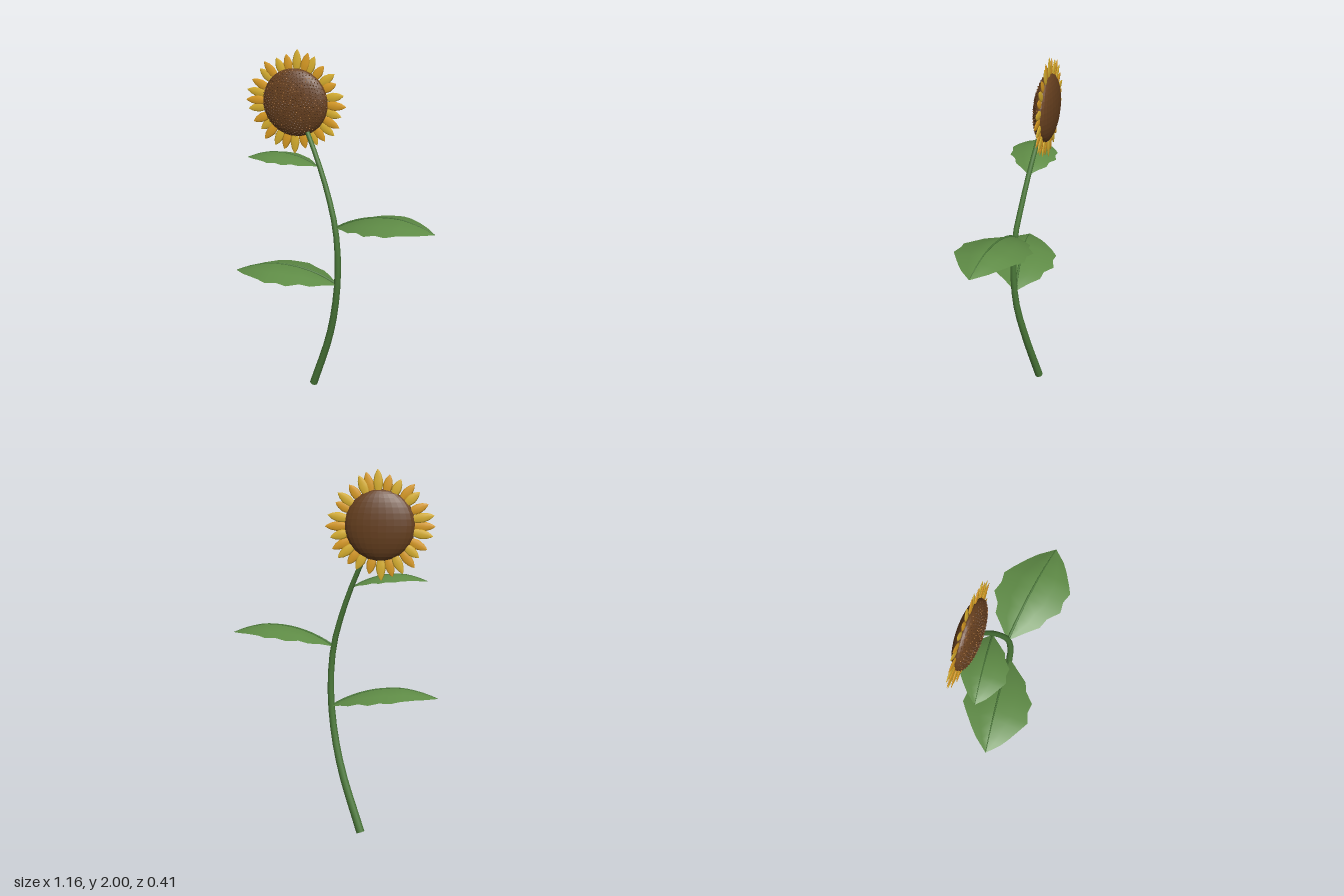
import * as THREE from 'three';

const mat = (name, color, extra = {}) => {
  const m = new THREE.MeshStandardMaterial({ color, ...extra });
  m.name = name;
  return m;
};

function seeded(seed) {
  return () => (seed = (seed * 16807) % 2147483647) / 2147483647;
}

function add(parent, name, geometry, material) {
  const mesh = new THREE.Mesh(geometry, material);
  mesh.name = name;
  parent.add(mesh);
  return mesh;
}

// Tube whose radius runs from r0 to r1 along the curve
function taperedTube(curve, segments, sides, r0, r1) {
  const geo = new THREE.TubeGeometry(curve, segments, 1, sides);
  const pos = geo.attributes.position, v = new THREE.Vector3();
  for (let i = 0; i < pos.count; i++) {
    const t = Math.floor(i / (sides + 1)) / segments;
    const c = curve.getPointAt(t);
    v.fromBufferAttribute(pos, i).sub(c).multiplyScalar(r0 + (r1 - r0) * t).add(c);
    pos.setXYZ(i, v.x, v.y, v.z);
  }
  return geo;
}

// Leaf sections: distance along x, midrib height, half width
const LEAF = [
  [0, 0, 0.012], [0.055, 0.032, 0.07], [0.11, 0.057, 0.13], [0.165, 0.076, 0.145],
  [0.225, 0.091, 0.195], [0.285, 0.099, 0.182], [0.345, 0.102, 0.195],
  [0.395, 0.1, 0.163], [0.465, 0.086, 0.115], [0.515, 0.071, 0.075], [0.58, 0.045, 0.002],
];
const midribZ = (x) => x * 0.13;

function leafGeometry(side) {
  const pos = [], index = [], across = [-1, -0.5, 0, 0.5, 1], n = across.length;
  for (const [x, y, w] of LEAF)
    for (const s of across) pos.push(side * x, y - 0.24 * Math.abs(s) * w, midribZ(x) + s * w);
  for (let i = 0; i < LEAF.length - 1; i++)
    for (let j = 0; j < n - 1; j++) {
      const a = i * n + j, b = a + 1, c = a + n, d = c + 1;
      if (side > 0) index.push(a, b, c, b, d, c);
      else index.push(a, c, b, b, c, d);
    }
  const geo = new THREE.BufferGeometry();
  geo.setAttribute('position', new THREE.Float32BufferAttribute(pos, 3));
  geo.setIndex(index);
  geo.computeVertexNormals();
  return geo;
}

export function createModel() {
  const model = new THREE.Group();
  model.name = 'sunflower';
  const stemGreen = mat('stem green', 0x4c7a3a);
  const leafGreen = mat('leaf green', 0x5f8c46, { side: THREE.DoubleSide });
  const yellow = mat('petal yellow', 0xdfb530);
  const orange = mat('petal orange', 0xe0a024);
  const brown = mat('disc brown', 0x67401f, { flatShading: true });
  const seedBrown = mat('seed brown', 0x5f3a1e, { flatShading: true });
  const tan = mat('seed tan', 0xa8703c, { flatShading: true });

  // Curved stem with closed ends
  const path = new THREE.CatmullRomCurve3([
    [-0.178, 0.008, -0.14], [-0.06, 0.35, -0.085], [-0.006, 0.6, -0.045], [0.01, 0.83, -0.032],
    [-0.008, 1.04, -0.037], [-0.058, 1.22, -0.06], [-0.125, 1.4, -0.085], [-0.195, 1.555, -0.11],
  ].map((p) => new THREE.Vector3(...p)));
  add(model, 'stem', taperedTube(path, 16, 10, 0.023, 0.013), stemGreen);
  for (const [t, r, sign] of [[0, 0.023, -1], [1, 0.013, 1]]) {
    const cap = add(model, 'stemEnd', new THREE.CircleGeometry(r, 10), stemGreen);
    cap.position.copy(path.getPointAt(t));
    cap.quaternion.setFromUnitVectors(new THREE.Vector3(0, 0, 1),
      path.getTangentAt(t).multiplyScalar(sign));
  }

  // Arched leaves, each with a raised midrib
  for (const [name, side, size, x, y, z] of [
    ['leftLeaf', 1, 1, 0, 1.04, -0.04],
    ['lowerRightLeaf', -1, 1, 0, 0.7, -0.04],
    ['upperRightLeaf', -1, 0.675, -0.128, 1.375, -0.08],
  ]) {
    const leaf = new THREE.Group();
    leaf.name = name;
    leaf.position.set(x, y, z);
    leaf.scale.setScalar(size);
    add(leaf, 'blade', leafGeometry(side), leafGreen);
    const rib = new THREE.CatmullRomCurve3(
      LEAF.map(([lx, ly]) => new THREE.Vector3(side * lx, ly, midribZ(lx))));
    add(leaf, 'midrib', taperedTube(rib, 14, 6, 0.008, 0.002), stemGreen);
    model.add(leaf);
  }

  // Flower head
  const head = new THREE.Group();
  head.name = 'flowerHead';
  head.position.set(-0.275, 1.71, -0.138);
  model.add(head);
  const R = 0.19, depth = 0.06;
  add(head, 'disc', new THREE.SphereGeometry(1, 28, 18), brown).scale.set(R, R, depth);

  // Ring of pointed petals
  const rand = seeded(77), count = 28;
  const petal = new THREE.LatheGeometry(
    [[0, 0], [0.016, 0.2], [0.024, 0.42], [0.026, 0.58], [0.018, 0.8], [0.008, 0.93], [0, 1]]
      .map((p) => new THREE.Vector2(...p)), 8);
  for (let i = 0; i < count; i++) {
    const a = ((i + (rand() - 0.5) * 0.35) / count) * Math.PI * 2;
    const tip = i % 7 === 0 ? 0.295 : 0.265 + rand() * 0.03;
    const mesh = add(head, 'petal', petal, i % 2 ? orange : yellow);
    mesh.position.set(-Math.sin(a) * 0.145, Math.cos(a) * 0.145, -0.009 + (i % 2) * 0.003);
    mesh.rotation.z = a;
    mesh.scale.set(1, tip - 0.145, 0.22);
  }

  // Spiral of small seeds over the front of the disc
  const seed = new THREE.OctahedronGeometry(0.005);
  const total = 420, spots = [[], []];
  for (let i = 0; i < total; i++) {
    const r = Math.sqrt((i + 0.5) / total) * 0.985, a = i * 2.39996;
    const m = new THREE.Matrix4().makeRotationZ(a);
    m.setPosition(Math.cos(a) * r * R, Math.sin(a) * r * R, Math.sqrt(1 - r * r) * depth);
    spots[rand() < 0.25 ? 1 : 0].push(m);
  }
  spots.forEach((list, k) => {
    for (const m of list) {
      const mesh = add(head, 'seed', seed, k ? tan : seedBrown);
      mesh.applyMatrix4(m);
      if (k) mesh.scale.setScalar(0.8);
    }
  });
  return model;
}
